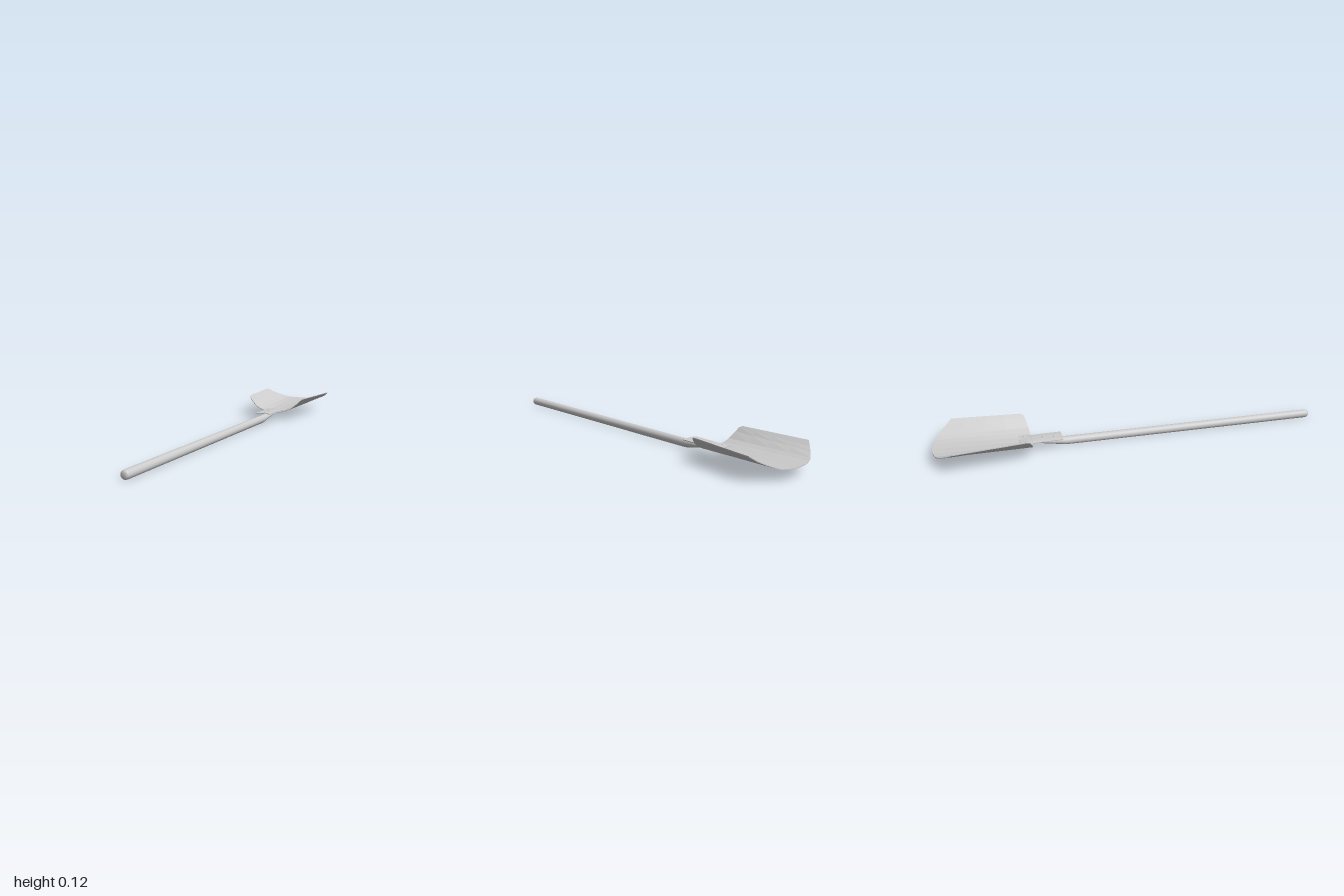
import * as THREE from 'three';

const grey = (extra = {}) => new THREE.MeshStandardMaterial({ color: 0xcccccc, ...extra });

function addMesh(group, name, geometry, material) {
  const mesh = new THREE.Mesh(geometry, material);
  mesh.name = name;
  group.add(mesh);
  return mesh;
}

// Symmetric thin sheet lofted along z between half sections.
// Each section lists [x, y, z] from the centre line outwards.
function sheet(sections, thickness) {
  const half = sections[0].length - 1, rows = sections.length - 1;
  const geo = new THREE.BoxGeometry(1, 1, 1, half * 2, 1, rows);
  const pos = geo.attributes.position;
  for (let i = 0; i < pos.count; i++) {
    const column = Math.round(pos.getX(i) * 2 * half);
    const row = Math.round((0.5 - pos.getZ(i)) * rows);
    const [x, y, z] = sections[row][Math.abs(column)];
    pos.setXYZ(i, Math.sign(column) * x, y + (pos.getY(i) > 0 ? thickness : 0), z);
  }
  geo.computeVertexNormals();
  return geo;
}

// Pole with a rounded grip end and a tip shaved away from below
function handleGeometry() {
  const r = 0.0215;
  const profile = [[0, -0.47], [r * 0.8, -0.47], [r, -0.45], [r, -0.42], [r, -0.38], [r, -0.34],
    [r, 0.985], [r * 0.9, 0.994], [r * 0.7, 1], [0, 1]].map(([a, b]) => new THREE.Vector2(a, b));
  const geo = new THREE.LatheGeometry(profile, 20);
  geo.rotateX(Math.PI / 2);
  const pos = geo.attributes.position;
  for (let i = 0; i < pos.count; i++) {
    const t = THREE.MathUtils.clamp((-0.34 - pos.getZ(i)) / 0.13, 0, 1);
    const squash = 1 - 0.5 * t;
    pos.setY(i, r + 0.001 + r * (1 - squash) + pos.getY(i) * squash + 0.003 * t);
  }
  geo.computeVertexNormals();
  return geo;
}

export function createModel() {
  const model = new THREE.Group();
  model.name = 'shovel';

  addMesh(model, 'handle', handleGeometry(), grey());

  // Scooped blade, deep at the socket and flatter at the cutting edge
  const near = [[0, 0.033, -0.512], [0.045, 0.036, -0.513], [0.075, 0.046, -0.515],
    [0.105, 0.059, -0.517], [0.14, 0.089, -0.526], [0.157, 0.108, -0.535], [0.165, 0.115, -0.55]];
  const far = [[0, 0.05, -1], [0.05, 0.051, -0.995], [0.09, 0.054, -0.984],
    [0.115, 0.062, -0.973], [0.15, 0.077, -0.948], [0.175, 0.091, -0.925], [0.2, 0.111, -0.9]];
  const blade = [0, 0.25, 0.5, 0.75, 1].map(t =>
    near.map((p, i) => p.map((v, k) => THREE.MathUtils.lerp(v, far[i][k], t))));
  addMesh(model, 'blade', sheet(blade, 0.004), grey({ flatShading: true, side: THREE.DoubleSide }));

  // Mounting plate: raised over the handle, flaring where it grips the blade
  const plateRow = (z, width, crown, edge) =>
    [[0, crown, z], [0.014, crown, z], [0.026, (crown + edge) / 2 + 0.001, z], [width, edge, z]];
  const plate = [
    plateRow(-0.36, 0.045, 0.05, 0.048),
    plateRow(-0.47, 0.045, 0.05, 0.047),
    plateRow(-0.512, 0.045, 0.049, 0.045),
    plateRow(-0.515, 0.057, 0.048, 0.044),
    plateRow(-0.54, 0.057, 0.046, 0.044),
    plateRow(-0.575, 0.057, 0.041, 0.044),
  ];
  addMesh(model, 'mountingPlate', sheet(plate, 0.004), grey({ flatShading: true, side: THREE.DoubleSide }));

  // Domed rivets on the plate
  const rivets = new THREE.Group();
  rivets.name = 'rivets';
  for (const [x, y, z] of [[0, 0.053, -0.395], [0, 0.053, -0.455], [0.038, 0.047, -0.545], [-0.038, 0.047, -0.545]]) {
    const rivet = addMesh(rivets, 'rivet', new THREE.SphereGeometry(0.009, 12, 6), grey());
    rivet.scale.y = 0.6;
    rivet.position.set(x, y, z);
  }
  model.add(rivets);

  return model;
}
